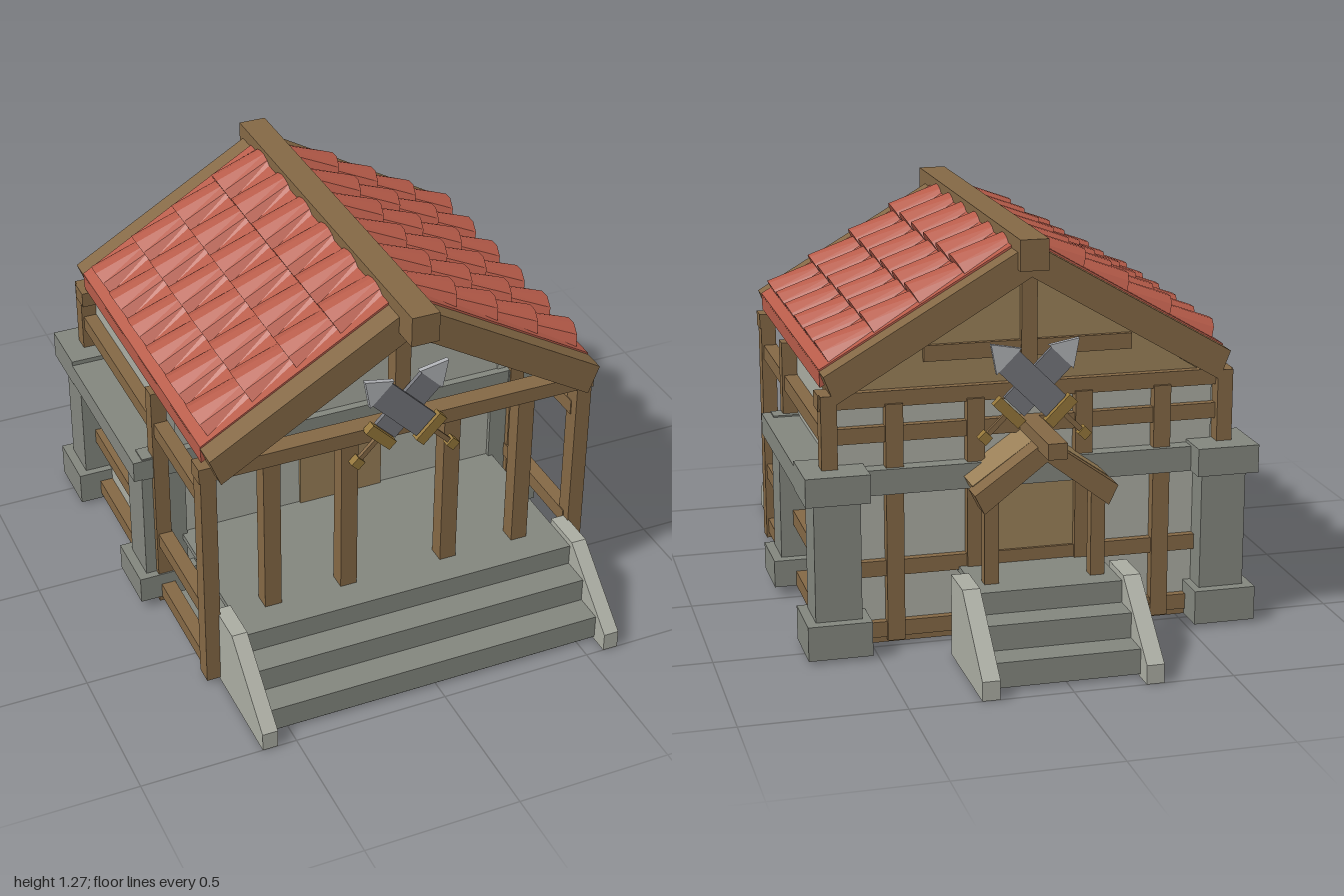
import * as THREE from 'three';

const mat = (color) => new THREE.MeshStandardMaterial({ color, flatShading: true, side: THREE.DoubleSide });
const WOOD = mat(0x846845), PLANK = mat(0x9a8058), STONE = mat(0x83867e), PLASTER = mat(0xaaaca2);
const TILE = mat(0xb85c4a), STEEL = mat(0x74757b), EDGE = mat(0xb0b2b6), BRASS = mat(0x94763a);

const SLOPE = Math.atan(0.583), APEX = 1.255;

export function createModel() {
  const model = new THREE.Group();
  const add = (name, geo, material, parent = model) => {
    const m = new THREE.Mesh(geo, material);
    m.name = name;
    parent.add(m);
    return m;
  };
  // box given by its two extremes on each axis
  const box = (name, material, x0, x1, y0, y1, z0, z1, parent = model) => {
    const g = new THREE.BoxGeometry(x1 - x0, y1 - y0, z1 - z0);
    g.translate((x0 + x1) / 2, (y0 + y1) / 2, (z0 + z1) / 2);
    return add(name, g, material, parent);
  };
  const pair = (name, material, x0, x1, ...rest) => {
    box(name, material, x0, x1, ...rest);
    box(name, material, -x1, -x0, ...rest);
  };
  // outline in x and y, pulled along z
  const prism = (name, material, points, z0, z1, parent = model) => {
    const shape = new THREE.Shape(points.map(([x, y]) => new THREE.Vector2(x, y)));
    const g = new THREE.ExtrudeGeometry(shape, { depth: z1 - z0, bevelEnabled: false });
    g.translate(0, 0, z0);
    return add(name, g, material, parent);
  };
  const mirrored = (half) => [...half, ...half.slice().reverse().map(([x, y]) => [-x, y])];

  // stairs with sloped side walls; dir is the side they face
  function stairs(name, dir, inner, outer, back) {
    const g = new THREE.Group();
    g.name = name;
    const z = [0.75, 0.845, 0.94], y = [0.24, 0.17, 0.09, 0.01];
    z.forEach((front, i) => {
      const start = i ? z[i - 1] - 0.02 : back;
      box('tread', STONE, -inner, inner, y[i] - 0.02, y[i], start, front, g);
      box('riser', STONE, -inner, inner, y[i + 1], y[i], front - 0.02, front, g);
    });
    for (const s of [-1, 1]) {
      const wall = prism('stairSideWall', PLASTER,
        [[-0.62, 0], [-1, 0], [-1, 0.06], [-0.76, 0.26], [-0.62, 0.26]], 0, outer - inner, g);
      wall.rotation.y = Math.PI / 2;
      wall.position.x = s > 0 ? inner : -outer;
      if (dir < 0) wall.scale.x = 1;
    }
    if (dir < 0) g.rotation.y = Math.PI;
    model.add(g);
    return g;
  }
  stairs('frontStairs', 1, 0.56, 0.61, 0.18);
  stairs('backStairs', -1, 0.225, 0.28, 0.46);
  box('porchBase', STONE, -0.6, 0.6, 0, 0.012, 0.13, 0.93);
  box('roomFloor', WOOD, -0.6, 0.6, 0.01, 0.03, -0.49, 0.13);

  // room walls
  pair('sideWall', PLASTER, 0.57, 0.605, 0.02, 0.79, -0.47, 0.19);
  box('frontWall', PLASTER, -0.6, 0.6, 0.02, 0.79, 0.15, 0.185);
  box('backWall', PLASTER, -0.6, 0.6, 0.02, 0.79, -0.475, -0.445);
  box('frontDoor', PLANK, -0.145, 0.145, 0.24, 0.5, 0.18, 0.195);
  box('backDoor', PLANK, -0.145, 0.145, 0.24, 0.5, -0.49, -0.47);
  for (const z of [0.16, -0.475])
    prism('gablePanel', PLANK, [[-0.6, 0.79], [0.6, 0.79], [0, 1.16]], z, z + 0.025);

  // timber frame
  for (const [z0, z1] of [[0.59, 0.65], [0.17, 0.22], [-0.52, -0.465]])
    pair('cornerPost', WOOD, 0.605, 0.655, 0.01, 0.82, z0, z1);
  for (const x of [0.145, 0.4]) {
    pair('porchPost', WOOD, x, x + 0.055, 0.24, 0.78, 0.592, 0.648);
    pair('backWallPost', WOOD, x, x + 0.055, 0.02, 0.78, -0.51, -0.465);
  }
  for (const y of [0.03, 0.23, 0.66]) {
    pair('sideRail', WOOD, 0.602, 0.648, y, y + 0.05, -0.49, 0.62);
    box('backRail', WOOD, -0.62, 0.62, y, y + 0.05, -0.5, -0.465);
  }
  for (const [z0, z1] of [[0.588, 0.652], [-0.5, -0.43]]) {
    box('tieBeam', WOOD, -0.66, 0.66, 0.77, 0.82, z0, z1);
    box('kingPost', WOOD, -0.025, 0.025, 0.82, 1.17, z0 + 0.005, z1 - 0.005);
  }
  for (const z of [0.18, -0.49])
    box('collarBeam', WOOD, -0.33, 0.33, 0.9, 0.95, z, z + 0.02);

  // stone pillars and the band between them
  for (const [z0, z1] of [[0.06, 0.2], [-0.56, -0.42]]) {
    pair('stonePillar', STONE, 0.545, 0.69, 0.03, 0.55, z0, z1);
    pair('pillarFoot', STONE, 0.52, 0.72, z0 < 0 ? 0.01 : 0.03, 0.12, z0 - 0.035, z1 + 0.025);
  }
  pair('pillarCap', STONE, 0.52, 0.72, 0.5, 0.59, -0.595, -0.395);
  pair('sideStoneBand', STONE, 0.6, 0.72, 0.505, 0.575, -0.42, 0.215);
  box('frontStoneBand', STONE, -0.69, 0.69, 0.5, 0.58, 0.15, 0.212);
  box('backStoneBand', STONE, -0.6, 0.6, 0.5, 0.58, -0.525, -0.46);

  // main roof
  prism('roofFrame', WOOD, mirrored([[0, 1.15], [0.61, 0.79], [0.645, 0.88], [0, APEX]]), -0.52, 0.705);
  prism('tileBed', TILE, mirrored([[0, 1.2], [0.643, 0.83], [0.645, 0.886], [0, APEX + 0.008]]), -0.45, 0.63);
  box('ridgeBeam', WOOD, -0.045, 0.045, 1.175, 1.272, -0.55, 0.79);

  // arched tiles, wider and higher at the lower end
  const arch = [[-1, 0], [-0.68, 0.62], [-0.2, 1], [0.2, 1], [0.68, 0.62], [1, 0]];
  const c = Math.cos(SLOPE), s = Math.sin(SLOPE);
  function tileRow(low, side) {
    const pos = [], index = [];
    for (let col = 0; col < 6; col++) {
      const base = pos.length / 3, mid = 0.525 - col * 0.175;
      for (const [d, w, top] of [[low - 0.18, 0.062, 0.02], [low, 0.087, 0.052]])
        for (const [u, v] of arch) {
          const h = v * top + 0.004;
          pos.push(side * (d * c + h * s), APEX - d * s + h * c, mid + u * w);
        }
      for (let i = 0; i < 5; i++) {
        const a = base + i, b = a + 6;
        index.push(a, a + 1, b + 1, a, b + 1, b);
        if (i > 0) index.push(base + 6, b, b + 1);
      }
    }
    if (side > 0) index.reverse();
    const g = new THREE.BufferGeometry();
    g.setAttribute('position', new THREE.Float32BufferAttribute(pos, 3));
    g.setIndex(index);
    g.computeVertexNormals();
    return g;
  }
  for (const side of [-1, 1])
    for (let r = 0; r < 4; r++) add('tileRow', tileRow(0.214 + r * 0.164, side), TILE);

  // canopy over the back door
  prism('canopyRoof', PLANK, mirrored([[0, 0.65], [0.2, 0.51], [0.215, 0.54], [0, 0.69]]), -0.63, -0.47);
  prism('canopyGable', WOOD, mirrored([[0, 0.62], [0.195, 0.47], [0.225, 0.53], [0, 0.69]]), -0.7, -0.62);
  box('canopyRidge', WOOD, -0.03, 0.03, 0.66, 0.71, -0.81, -0.45);
  pair('canopyPost', WOOD, 0.145, 0.19, 0.24, 0.53, -0.68, -0.64);

  // crossed swords on each gable
  function sword(parent, lean, z) {
    const g = new THREE.Group();
    g.name = 'sword';
    prism('blade', STEEL, [[-0.045, -0.09], [0.045, -0.09], [0.045, 0.13], [-0.045, 0.13]], -0.007, 0.007, g);
    prism('bladeTip', EDGE, [[-0.055, 0.12], [0.055, 0.12], [0, 0.2]], -0.008, 0.008, g);
    box('guard', BRASS, -0.055, 0.055, -0.13, -0.095, -0.014, 0.014, g);
    box('grip', WOOD, -0.008, 0.008, -0.21, -0.12, -0.006, 0.006, g);
    box('pommel', BRASS, -0.016, 0.016, -0.235, -0.203, -0.014, 0.014, g);
    g.rotation.z = lean * Math.PI / 4;
    g.position.z = z;
    parent.add(g);
  }
  for (const [y, z] of [[0.87, 0.668], [0.82, -0.555]]) {
    const crossed = new THREE.Group();
    crossed.name = 'crossedSwords';
    sword(crossed, 1, 0.009);
    sword(crossed, -1, -0.009);
    crossed.position.set(0, y, z);
    model.add(crossed);
  }
  return model;
}
